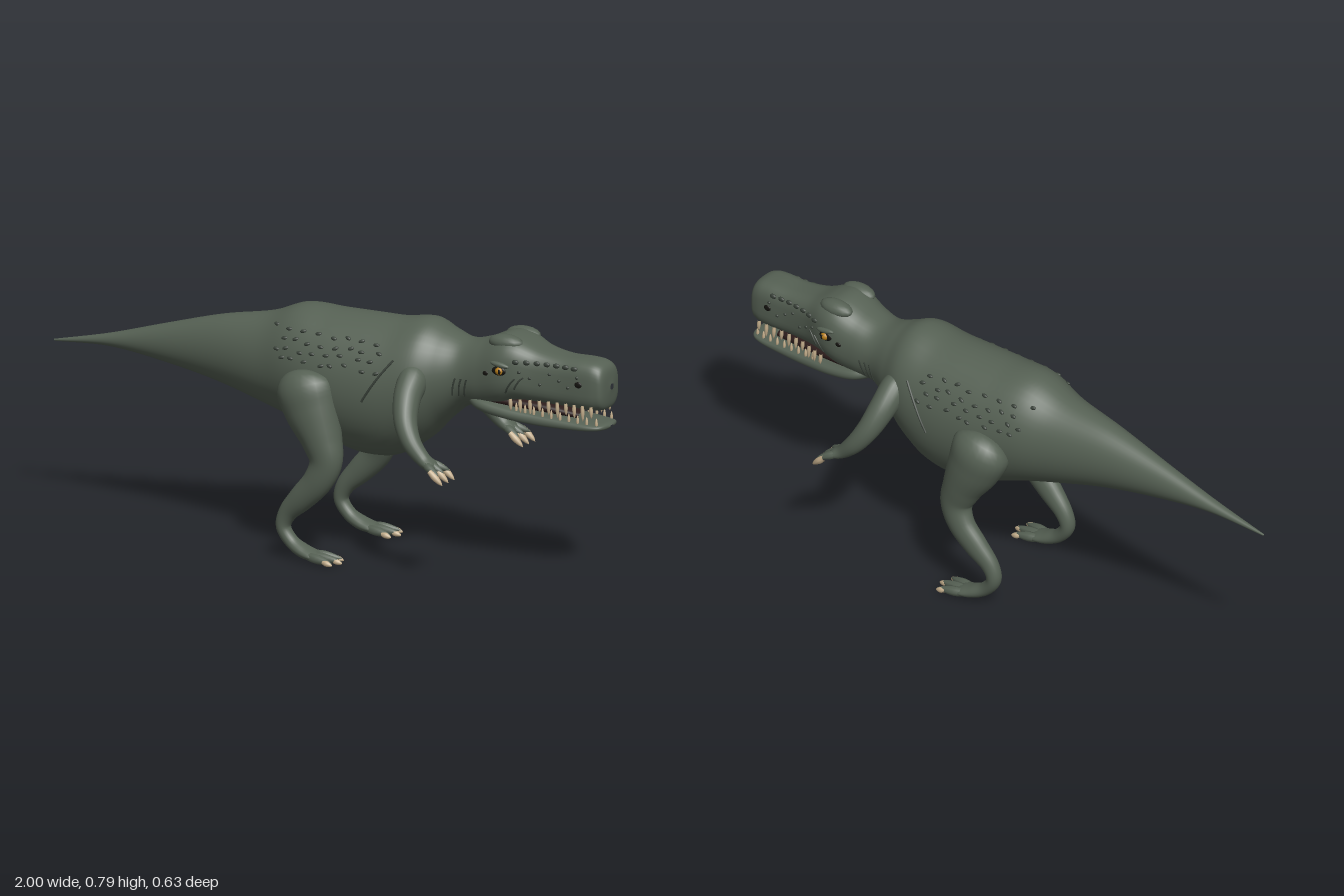
import * as THREE from 'three';

const paint = (name, color) => {
  const m = new THREE.MeshStandardMaterial({ color });
  m.name = name;
  return m;
};

// Rows are [x, y, z, sideRadius, planeRadius, exponent]; rings are swept through them.
function loft(rows, steps, sides, upright = false) {
  const spline = (f) => new THREE.CatmullRomCurve3(rows.map(f), false, 'catmullrom', 0.5);
  const path = spline((r) => new THREE.Vector3(r[0], r[1], r[2]));
  const size = spline((r) => new THREE.Vector3(r[3], r[4], r[5] ?? 2));
  const pos = [], index = [], zAxis = new THREE.Vector3(0, 0, 1);
  for (let i = 0; i <= steps; i++) {
    const t = i / steps, c = path.getPoint(t), s = size.getPoint(t);
    const T = upright ? new THREE.Vector3(1, 0, 0) : path.getTangent(t);
    const B = new THREE.Vector3().crossVectors(T, zAxis).normalize();
    const N = new THREE.Vector3().crossVectors(B, T);
    for (let j = 0; j < sides; j++) {
      const a = (j / sides) * Math.PI * 2, co = Math.cos(a), si = Math.sin(a);
      const u = Math.sign(co) * Math.abs(co) ** (2 / s.z) * Math.max(s.x, 0.0005);
      const v = Math.sign(si) * Math.abs(si) ** (2 / s.z) * Math.max(s.y, 0.0005);
      const p = c.clone().addScaledVector(N, u).addScaledVector(B, v);
      pos.push(p.x, p.y, p.z);
      if (i < steps) {
        const k = i * sides + j, l = i * sides + ((j + 1) % sides);
        index.push(k, l, k + sides, l, l + sides, k + sides);
      }
    }
  }
  const g = new THREE.BufferGeometry();
  g.setAttribute('position', new THREE.Float32BufferAttribute(pos, 3));
  g.setIndex(index);
  g.computeVertexNormals();
  // Finds the side of the surface at a given x and height
  g.userData.sideAt = (x, y) => {
    let lo = 0, hi = 1;
    for (let i = 0; i < 30; i++) {
      const m = (lo + hi) / 2;
      if (path.getPoint(m).x < x) lo = m; else hi = m;
    }
    const c = path.getPoint(lo), s = size.getPoint(lo);
    const e = Math.min(1, Math.abs(y - c.y) / s.y);
    return s.x * (1 - e ** s.z) ** (1 / s.z);
  };
  return g;
}

// Profile rows [x, top, bottom, halfWidth, exponent] become loft rows
const profile = (rows) => rows.map(([x, t, b, w, e]) => [x, (t + b) / 2, 0, w, (t - b) / 2, e]);

export function createModel() {
  const model = new THREE.Group();
  const skin = paint('skin', 0x566154);
  const scaleDark = paint('dark scales', 0x394139);
  const black = paint('black', 0x14130f);
  const ivory = paint('ivory', 0xc4ae8c);
  const amber = paint('amber', 0xb57d1c);
  const mouthDark = paint('mouth', 0x2c1c1b);

  const add = (name, geo, mat, parent = model) => {
    const m = new THREE.Mesh(geo, mat);
    m.name = name;
    parent.add(m);
    return m;
  };
  const sphere = new THREE.SphereGeometry(1, 16, 10);
  const ball = (name, mat, p, s, parent) => {
    const m = add(name, sphere, mat, parent);
    m.position.set(...p);
    m.scale.set(...s);
    return m;
  };
  // Tapered spike for claws and teeth
  const spike = (name, mat, a, b, r, parent) => {
    const at = (t, k) => [...a.map((v, i) => v + (b[i] - v) * t), r * k, r * k];
    return add(name, loft([at(0, 0.75), at(0.4, 1), at(0.8, 0.6), at(1, 0.05)], 9, 8), mat, parent);
  };

  // Tail, torso, neck and skull in one skin
  const body = loft(profile([
    [-1, 0.546, 0.54, 0.003, 2], [-0.8, 0.592, 0.549, 0.022, 2], [-0.6, 0.65, 0.525, 0.046, 2],
    [-0.4, 0.705, 0.487, 0.08, 2], [-0.22, 0.74, 0.437, 0.12, 2], [-0.1, 0.783, 0.4, 0.155, 2],
    [0.02, 0.781, 0.355, 0.178, 2], [0.14, 0.781, 0.326, 0.185, 2], [0.25, 0.782, 0.337, 0.181, 2],
    [0.35, 0.794, 0.4, 0.163, 2], [0.42, 0.767, 0.47, 0.128, 2], [0.49, 0.744, 0.525, 0.1, 2.1],
    [0.56, 0.757, 0.535, 0.103, 2.3], [0.635, 0.787, 0.552, 0.114, 2.5], [0.69, 0.78, 0.575, 0.107, 2.8],
    [0.76, 0.75, 0.575, 0.083, 3], [0.84, 0.735, 0.573, 0.071, 3.2], [0.92, 0.734, 0.571, 0.071, 3.3],
    [0.965, 0.728, 0.573, 0.068, 3.2], [0.99, 0.708, 0.585, 0.055, 2.8], [0.998, 0.66, 0.64, 0.01, 2.4],
  ]), 140, 40, true);
  add('body', body, skin);
  const sideAt = body.userData.sideAt;

  // Lower jaw and dark mouth lining
  const jaw = loft(profile([
    [0.5, 0.59, 0.55, 0.05, 2], [0.56, 0.585, 0.525, 0.092, 2.3], [0.65, 0.566, 0.515, 0.1, 2.8],
    [0.76, 0.552, 0.505, 0.09, 3], [0.88, 0.541, 0.504, 0.079, 3], [0.95, 0.535, 0.507, 0.07, 2.8],
    [0.985, 0.532, 0.512, 0.052, 2.5], [0.997, 0.525, 0.519, 0.01, 2.2],
  ]), 48, 32, true);
  add('lowerJaw', jaw, skin);
  add('mouthLining', loft(profile([
    [0.6, 0.59, 0.56, 0.08, 3], [0.7, 0.585, 0.552, 0.072, 3], [0.8, 0.578, 0.546, 0.06, 3], [0.9, 0.56, 0.538, 0.04, 3],
  ]), 16, 20, true), mouthDark);

  for (const s of [1, -1]) {
    const side = new THREE.Group();
    side.name = s > 0 ? 'frontSide' : 'backSide';
    model.add(side);
    const onBody = (x, y, lift = 0) => [x, y, s * (sideAt(x, y) + lift)];

    // Leg from hip to foot
    add('leg', loft([
      [-0.02, 0.6, 0.14, 0.02, 0.03], [-0.012, 0.565, 0.162, 0.075, 0.095], [0.015, 0.49, 0.17, 0.076, 0.092],
      [0.055, 0.4, 0.178, 0.062, 0.068], [0.075, 0.33, 0.187, 0.046, 0.055], [0.05, 0.265, 0.195, 0.037, 0.048],
      [-0.005, 0.205, 0.194, 0.033, 0.042], [-0.058, 0.15, 0.19, 0.027, 0.031], [-0.075, 0.1, 0.19, 0.025, 0.024],
      [-0.045, 0.055, 0.19, 0.025, 0.022], [0, 0.03, 0.192, 0.034, 0.021], [0.045, 0.019, 0.194, 0.037, 0.014],
      [0.065, 0.014, 0.194, 0.015, 0.005],
    ].map(([x, y, z, a, b]) => [x, y, z * s, a, b]), 64, 24), skin, side);
    for (const k of [-1, 0, 1]) {
      const z = s * (0.194 + k * 0.036), reach = k ? 0 : 0.015;
      spike('toe', skin, [0.02, 0.022, s * (0.194 + k * 0.02)], [0.118 + reach, 0.012, z], 0.016, side);
      spike('toeClaw', ivory, [0.088 + reach, 0.014, z], [0.122 + reach, 0.006, z + s * k * 0.003], 0.01, side);
    }

    // Arm, fingers and claws
    add('arm', loft([
      [0.355, 0.65, 0.09, 0.02, 0.02], [0.358, 0.625, 0.125, 0.05, 0.046], [0.365, 0.575, 0.185, 0.046, 0.043],
      [0.385, 0.51, 0.232, 0.039, 0.037], [0.42, 0.452, 0.257, 0.031, 0.031], [0.465, 0.405, 0.262, 0.026, 0.023],
      [0.495, 0.389, 0.263, 0.033, 0.016], [0.515, 0.382, 0.264, 0.015, 0.006],
    ].map(([x, y, z, a, b]) => [x, y, z * s, a, b]), 40, 20), skin, side);
    for (const k of [-1, 0, 1]) {
      const z = s * (0.265 + k * 0.04);
      spike('finger', skin, [0.475, 0.398, s * (0.263 + k * 0.014)], [0.54, 0.37, z], 0.014, side);
      spike('fingerClaw', ivory, [0.51, 0.382, z], [0.556, 0.341, z], 0.0115, side);
    }

    // Eye, lids, brow, ear and nostril
    ball('eyeSocket', black, onBody(0.652, 0.682, -0.003), [0.025, 0.016, 0.007], side);
    ball('eye', amber, onBody(0.655, 0.682, -0.001), [0.014, 0.013, 0.012], side);
    ball('pupil', black, onBody(0.66, 0.682, 0.009), [0.004, 0.009, 0.003], side);
    ball('browRidge', skin, [0.65, 0.763, s * 0.058], [0.06, 0.026, 0.032], side);
    ball('eyelid', skin, onBody(0.655, 0.702, -0.002), [0.034, 0.009, 0.01], side).rotation.z = -0.15;
    ball('ear', black, onBody(0.605, 0.668, -0.001), [0.011, 0.008, 0.004], side);
    ball('nostril', black, onBody(0.915, 0.66, 0), [0.013, 0.01, 0.004], side);

    // Scales on the snout
    for (let i = 0; i < 7; i++) {
      const x = 0.705 + i * 0.032;
      ball('snoutScale', scaleDark, onBody(x, 0.714 - i * 0.001, 0), [0.012, 0.008, 0.006], side);
      ball('cheekScale', scaleDark, onBody(x + 0.012, 0.682 - (i % 3) * 0.018, 0), [0.006, 0.005, 0.004], side);
    }

    // Scattered scales on the flank
    let seed = 7;
    const rnd = () => (seed = (seed * 16807) % 2147483647) / 2147483647 - 0.5;
    for (let row = 0; row < 4; row++) {
      for (let i = 0; i < 8; i++) {
        const x = -0.14 + i * 0.051 + (row % 2) * 0.025 + rnd() * 0.025;
        const y = 0.72 - row * 0.027 + rnd() * 0.014;
        const m = ball('flankScale', scaleDark, onBody(x, y, 0), [0.011, 0.006, 0.005], side);
        m.rotation.set(-s * 0.6, 0, rnd());
      }
    }

    // Skin creases on flank, neck and cheek
    const crease = (x0, y0, x1, y1, r) => {
      const pts = [0, 0.25, 0.5, 0.75, 1].map((t) => new THREE.Vector3(
        ...onBody(x0 + (x1 - x0) * t, y0 + (y1 - y0) * t + Math.sin(t * Math.PI) * 0.006)));
      add('crease', new THREE.TubeGeometry(new THREE.CatmullRomCurve3(pts), 14, r, 6), scaleDark, side);
    };
    crease(0.2, 0.54, 0.298, 0.68, 0.004);
    for (let i = 0; i < 3; i++) crease(0.475 + i * 0.02, 0.575, 0.49 + i * 0.02, 0.635, 0.003);
    crease(0.67, 0.61, 0.705, 0.66, 0.003);
    crease(0.7, 0.625, 0.73, 0.665, 0.003);

    // Teeth along both jaws
    for (let i = 0; i < 10; i++) {
      const x = 0.685 + i * 0.03, z = s * (sideAt(x, 0.65) * 0.9 - 0.002);
      const long = 0.025 + (i % 3) * 0.006;
      spike('upperTooth', ivory, [x, 0.592, z], [x + 0.002, 0.578 - long, z], 0.0065, side);
      const x2 = x + 0.014, jawTop = 0.56 - (x2 - 0.68) * 0.09;
      const z2 = s * jaw.userData.sideAt(x2, 0.528) * 0.84;
      spike('lowerTooth', ivory, [x2, jawTop - 0.012, z2], [x2, jawTop + 0.02, z2], 0.005, side);
    }
  }
  return model;
}
